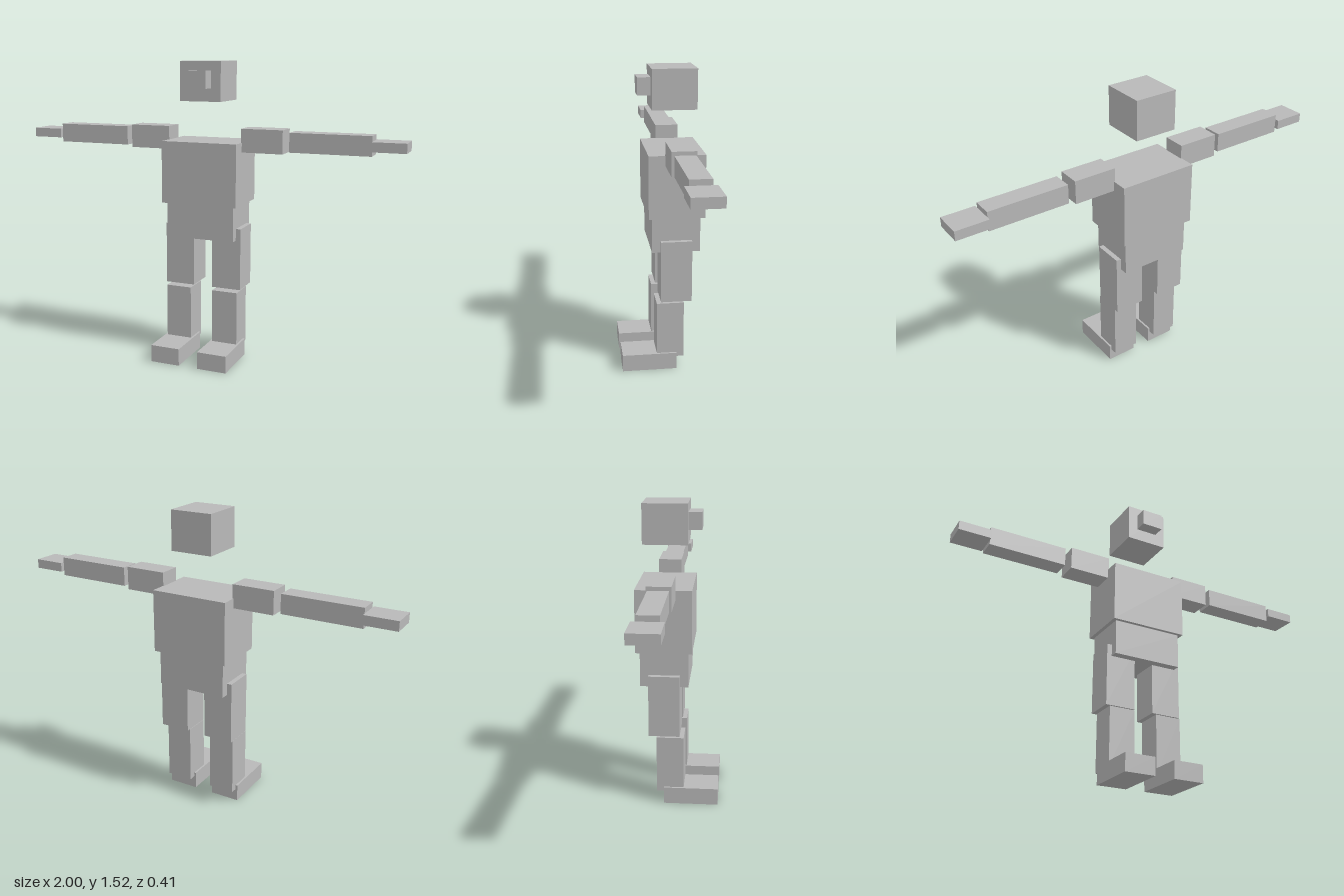
import * as THREE from 'three';

export function createModel() {
  const model = new THREE.Group();
  const grey = new THREE.MeshStandardMaterial({ color: 0xb8b8b8 });
  grey.name = 'plain grey';

  // Adds a block spanning the given ranges on each axis
  function block(name, [x0, x1], [y0, y1], [z0, z1]) {
    const mesh = new THREE.Mesh(new THREE.BoxGeometry(x1 - x0, y1 - y0, z1 - z0), grey);
    mesh.position.set((x0 + x1) / 2, (y0 + y1) / 2, (z0 + z1) / 2);
    mesh.name = name;
    model.add(mesh);
  }

  // Adds a block on the left (+x) and its mirror on the right
  function pair(name, [x0, x1], y, z) {
    block('left' + name, [x0, x1], y, z);
    block('right' + name, [-x1, -x0], y, z);
  }

  // Head and torso
  block('head', [-0.108, 0.108], [1.325, 1.521], [-0.175, 0.045]);
  block('nose', [-0.056, 0.056], [1.39, 1.476], [0.04, 0.11]);
  block('chest', [-0.2, 0.2], [0.81, 1.125], [-0.205, 0.072]);
  block('pelvis', [-0.18, 0.18], [0.632, 0.81], [-0.185, 0.054]);

  // Arms, held straight out
  pair('UpperArm', [0.195, 0.409], [1.077, 1.194], [-0.124, -0.008]);
  pair('Forearm', [0.44, 0.838], [1.087, 1.183], [-0.114, -0.016]);
  pair('Hand', [0.838, 1], [1.11, 1.157], [-0.135, 0.003]);

  // Legs
  pair('Thigh', [0.05, 0.205], [0.375, 0.692], [-0.143, 0.012]);
  pair('Shin', [0.06, 0.195], [0.065, 0.363], [-0.105, 0.032]);
  pair('Foot', [0.05, 0.205], [0, 0.088], [-0.068, 0.208]);

  return model;
}
